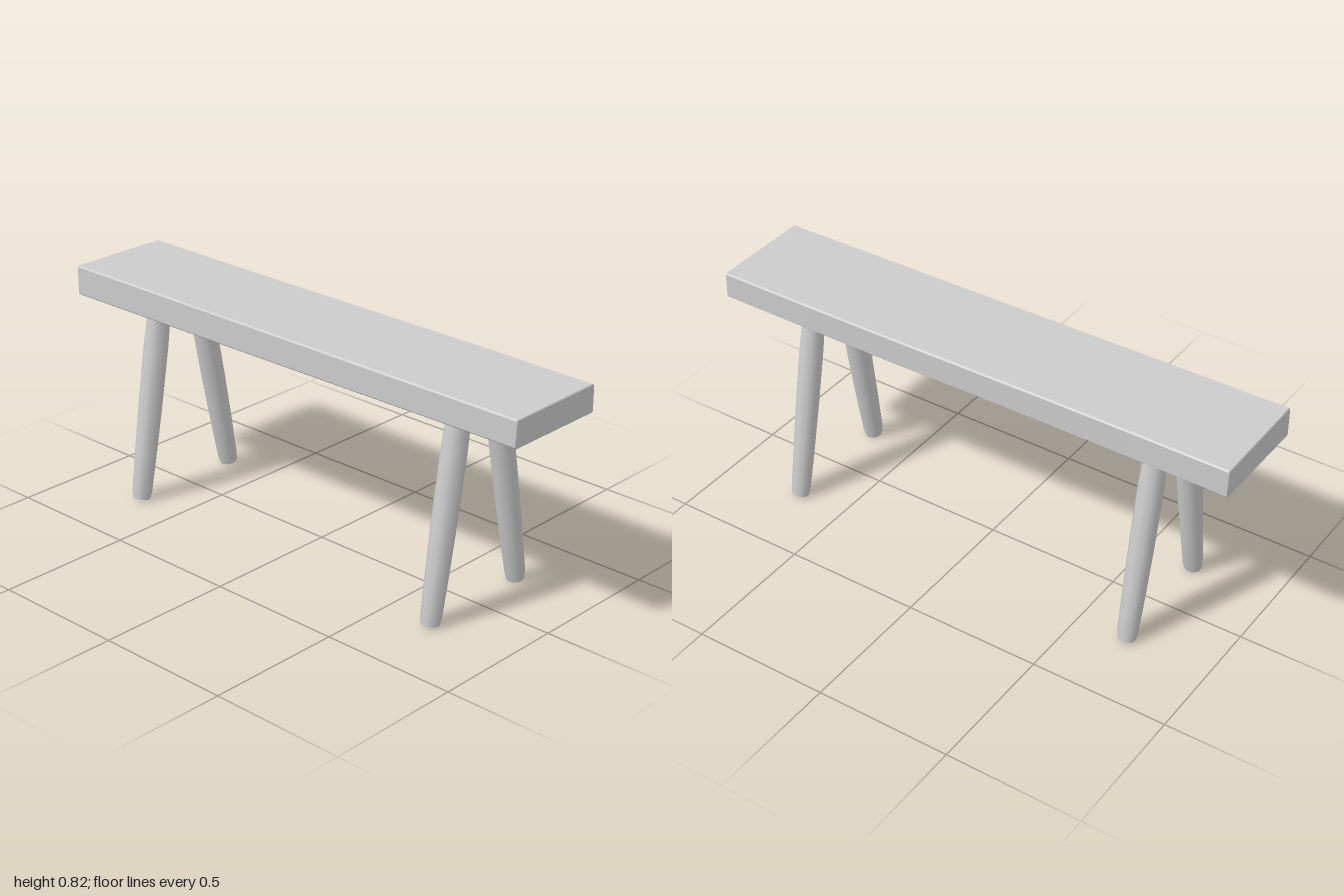
import * as THREE from 'three';
import { toCreasedNormals } from 'three/addons/utils/BufferGeometryUtils.js';

const wood = new THREE.MeshStandardMaterial({ color: 0xcccccc });

// Hewn plank: chamfered section swept along z, a touch thicker and wider at the back
function makeSeat() {
  const x0 = -0.207, x1 = 0.184, y0 = 0.721, y1 = 0.819, c = 0.005;
  const section = new THREE.Shape([
    [x0 + c, y0], [x1 - c, y0], [x1, y0 + c], [x1, y1 - c],
    [x1 - c, y1], [x0 + c, y1], [x0, y1 - c], [x0, y0 + c],
  ].map(([x, y]) => new THREE.Vector2(x, y)));
  const geo = new THREE.ExtrudeGeometry(section, {
    depth: 1.994, steps: 12, bevelEnabled: true, bevelSegments: 1,
    bevelThickness: 0.003, bevelSize: 0.003, bevelOffset: -0.003,
  });
  geo.translate(0, 0, -0.997);
  const p = geo.attributes.position;
  for (let i = 0; i < p.count; i++) {
    const x = p.getX(i), y = p.getY(i), z = p.getZ(i);
    const back = (1 - z) / 2;
    p.setY(i, y + (y > 0.77 ? 0.004 : -0.006) * back * (x < 0 ? 1.2 : 0.6));
    p.setX(i, x + (x < 0 ? -0.006 * back : 0.002 * Math.sin(z * 4)));
  }
  const seat = new THREE.Mesh(toCreasedNormals(geo, 0.6), wood);
  seat.name = 'seat';
  return seat;
}

// Whittled leg: eight-sided lathe, thickest above the middle, laid along its axis
function makeLeg(name, topX, footX, z, turn) {
  const foot = new THREE.Vector3(footX, 0.008, z);
  const axis = new THREE.Vector3(topX, 0.735, z).sub(foot);
  const length = axis.length();
  const profile = [
    [0, 0], [0.032, 0], [0.036, 0.04], [0.04, 0.25],
    [0.043, 0.5], [0.044, 0.78], [0.04, 1], [0, 1],
  ].map(([r, t]) => new THREE.Vector2(r, t * length));
  const geo = new THREE.LatheGeometry(profile, 10, turn);
  const leg = new THREE.Mesh(toCreasedNormals(geo, 0.8), wood);
  leg.name = name;
  leg.position.copy(foot);
  leg.quaternion.setFromUnitVectors(new THREE.Vector3(0, 1, 0), axis.normalize());
  return leg;
}

export function createModel() {
  const bench = new THREE.Group();
  bench.name = 'bench';
  bench.add(makeSeat());
  // Two splayed pairs of legs
  for (const [end, z] of [['front', 0.69], ['back', -0.69]]) {
    bench.add(makeLeg(end + 'LeftLeg', 0.083, 0.222, z, 0.3));
    bench.add(makeLeg(end + 'RightLeg', -0.1, -0.222, z, 0.1));
  }
  return bench;
}
